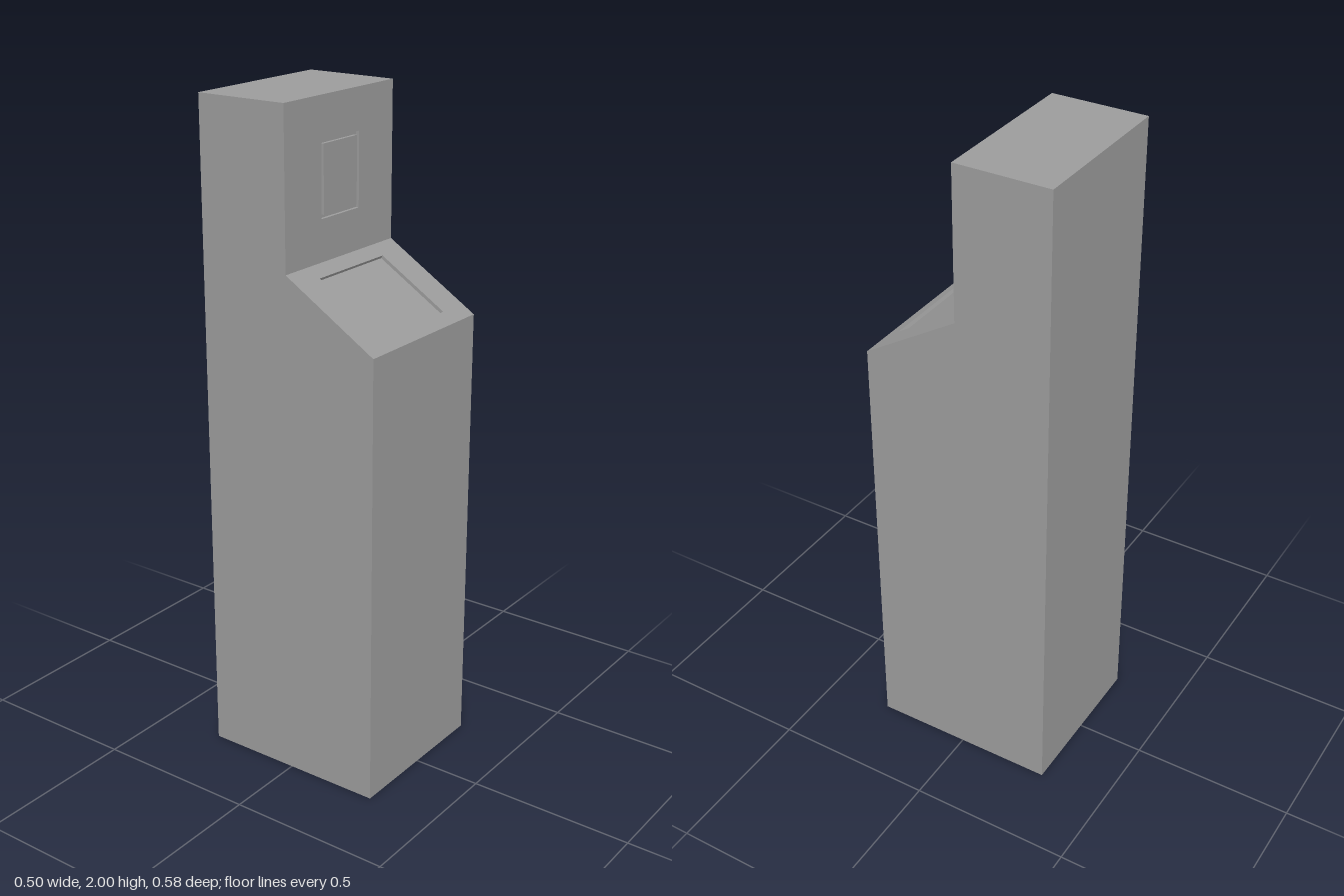
import * as THREE from 'three';
import { mergeGeometries } from 'three/addons/utils/BufferGeometryUtils.js';

const W = 0.5, BACK = -0.29, FRONT = 0.29;
// Side outline as [z, y]
const outline = [[BACK, 0], [FRONT, 0], [FRONT, 1.36], [0, 1.54], [0, 2], [BACK, 2]];
const material = new THREE.MeshStandardMaterial({ color: 0x9b9b9b, flatShading: true });

function add(parent, name, geometry) {
  const mesh = new THREE.Mesh(geometry, material);
  mesh.name = name;
  parent.add(mesh);
  return mesh;
}

const rect = (w, h) => [[-w, -h], [w, -h], [w, h], [-w, h]]
  .map(([x, y]) => new THREE.Vector2(x / 2, y / 2));

// Flat plate facing +z with an optional centred rectangular opening
function plate(w, h, hole) {
  const shape = new THREE.Shape(rect(w, h));
  if (hole) shape.holes.push(new THREE.Path(rect(hole.w, hole.h)));
  return new THREE.ShapeGeometry(shape);
}

// Four inward-facing walls running from z = 0 down to z = -depth
function recessWalls(w, h, depth) {
  return mergeGeometries([0, 1, 2, 3].map((i) => {
    const [length, reach] = i % 2 ? [h, w] : [w, h];
    return new THREE.PlaneGeometry(length, depth)
      .rotateX(-Math.PI / 2)
      .translate(0, -reach / 2, -depth / 2)
      .rotateZ(i * Math.PI / 2);
  }));
}

export function createModel() {
  const kiosk = new THREE.Group();
  kiosk.name = 'kiosk';

  // Side walls, mirrored
  for (const s of [1, -1]) {
    const shape = new THREE.Shape(outline.map(([z, y]) => new THREE.Vector2(-s * z, y)));
    const side = add(kiosk, s > 0 ? 'leftSide' : 'rightSide', new THREE.ShapeGeometry(shape));
    side.rotation.y = s * Math.PI / 2;
    side.position.x = s * W / 2;
  }

  // Plain outer faces
  const front = add(kiosk, 'frontPanel', plate(W, 1.36));
  front.position.set(0, 0.68, FRONT);
  const back = add(kiosk, 'backPanel', plate(W, 2));
  back.position.set(0, 1, BACK);
  back.rotation.y = Math.PI;
  const top = add(kiosk, 'top', plate(W, -BACK));
  top.position.set(0, 2, BACK / 2);
  top.rotation.x = -Math.PI / 2;
  const base = add(kiosk, 'base', plate(W, FRONT - BACK));
  base.rotation.x = Math.PI / 2;

  const depth = 0.01;

  // Sloping console with a sunken screen
  const slope = new THREE.Group();
  slope.name = 'console';
  slope.position.set(0, 1.45, FRONT / 2);
  slope.rotation.x = -Math.atan2(0.29, 0.18);
  kiosk.add(slope);
  const screen = { w: 0.3, h: 0.247 };
  add(slope, 'consolePanel', plate(W, Math.hypot(0.29, 0.18), screen));
  add(slope, 'screenWalls', recessWalls(screen.w, screen.h, depth));
  add(slope, 'screen', plate(screen.w, screen.h)).position.z = -depth;

  // Upright head with a window pane set inside a narrow groove
  const head = new THREE.Group();
  head.name = 'head';
  head.position.set(0, 1.77, 0);
  kiosk.add(head);
  const groove = { w: 0.174, h: 0.216 }, pane = { w: 0.154, h: 0.196 };
  add(head, 'headPanel', plate(W, 0.46, groove));
  add(head, 'grooveWalls', recessWalls(groove.w, groove.h, depth));
  add(head, 'grooveFloor', plate(groove.w, groove.h, pane)).position.z = -depth;
  add(head, 'windowPane', new THREE.BoxGeometry(pane.w, pane.h, depth)).position.z = -depth / 2;

  return kiosk;
}
